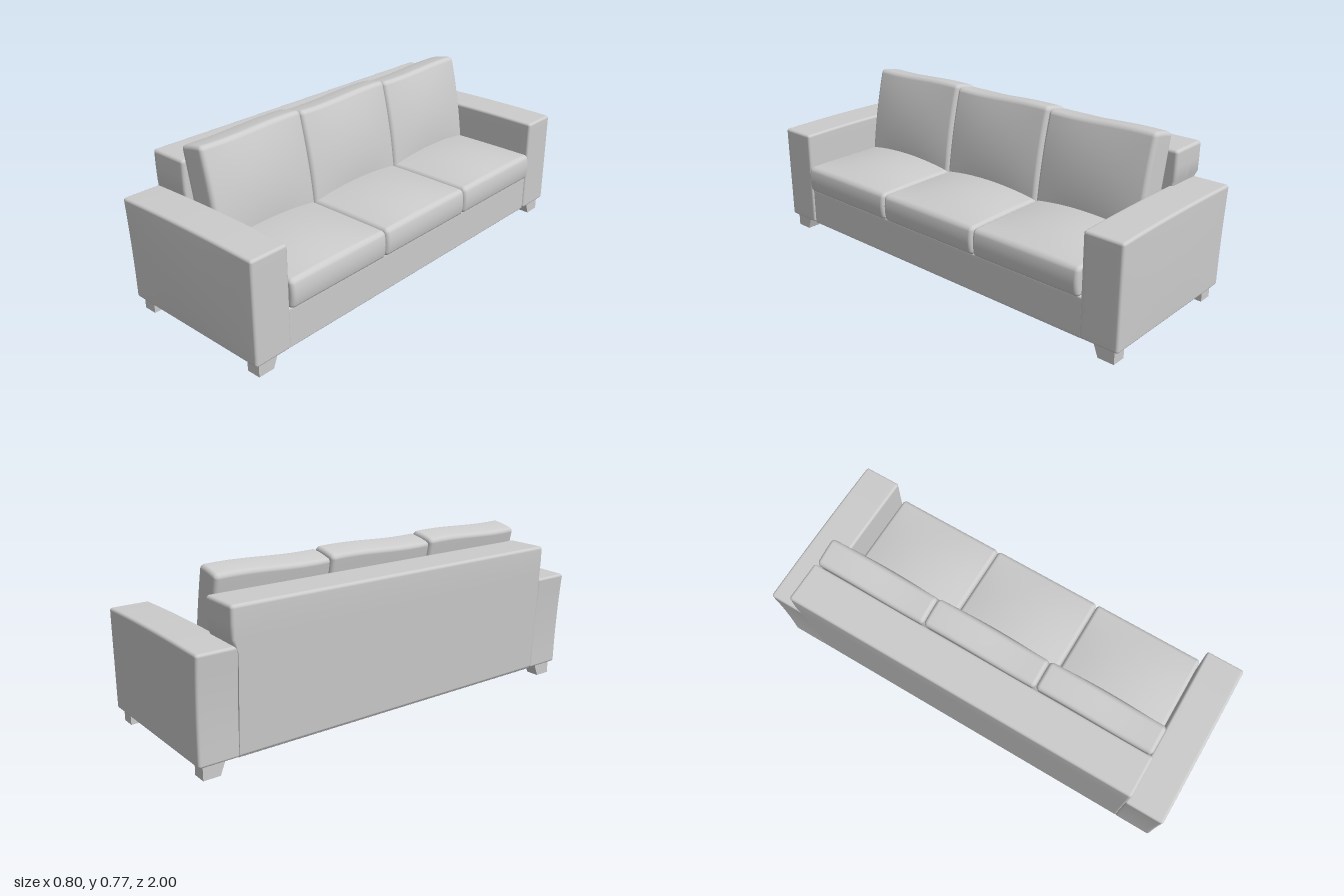
import * as THREE from 'three';
import { mergeVertices } from 'three/addons/utils/BufferGeometryUtils.js';

const material = new THREE.MeshStandardMaterial({ color: 0xcccccc });
const EDGE = 3; // segments across each rounded edge
const INNER = 10; // segments across each flat face

// Rounded, finely divided box between two corners.
// warp(p, u) moves each point p; u is its place in the box, -1 to 1 on each axis.
function softBox(name, min, max, r, warp) {
  const n = INNER + 2 * EDGE;
  const lo = new THREE.Vector3(...min), hi = new THREE.Vector3(...max);
  const half = hi.clone().sub(lo).multiplyScalar(0.5);
  const mid = hi.clone().add(lo).multiplyScalar(0.5);
  let geo = new THREE.BoxGeometry(2, 2, 2, n, n, n);
  geo.deleteAttribute('normal');
  geo.deleteAttribute('uv');
  geo = mergeVertices(geo);

  const place = (v, h) => {
    const i = Math.round((v + 1) / 2 * n);
    const k = Math.min(i, n - i);
    if (k >= EDGE) return (h - r) * ((i - EDGE) / INNER * 2 - 1);
    return Math.sign(v) * (h - r + r * Math.tan((EDGE - k) / EDGE * Math.PI / 4));
  };
  const pos = geo.attributes.position;
  const p = new THREE.Vector3(), core = new THREE.Vector3(), u = new THREE.Vector3();
  const inner = half.clone().subScalar(r);
  for (let i = 0; i < pos.count; i++) {
    p.fromBufferAttribute(pos, i);
    p.set(place(p.x, half.x), place(p.y, half.y), place(p.z, half.z));
    core.copy(p).clamp(inner.clone().negate(), inner);
    p.sub(core).setLength(r).add(core);
    u.copy(p).divide(half);
    p.add(mid);
    if (warp) warp(p, u);
    pos.setXYZ(i, p.x, p.y, p.z);
  }
  geo.computeVertexNormals();
  const mesh = new THREE.Mesh(geo, material);
  mesh.name = name;
  return mesh;
}

const dome = (a) => 1 - a * a;

// Block foot whose inner side slopes toward the floor
function foot(x, side) {
  const geo = new THREE.BoxGeometry(0.065, 0.065, 0.1);
  const pos = geo.attributes.position;
  for (let i = 0; i < pos.count; i++) {
    if (pos.getY(i) < 0 && pos.getZ(i) * side < 0) pos.setZ(i, -side * 0.025);
  }
  geo.computeVertexNormals();
  const mesh = new THREE.Mesh(geo, material);
  mesh.name = 'foot';
  mesh.position.set(x, 0.0325, side * 0.923);
  return mesh;
}

export function createModel() {
  const sofa = new THREE.Group();
  sofa.name = 'sofa';

  // Base below the cushions
  sofa.add(softBox('base', [-0.365, 0.055, -0.825], [0.375, 0.235, 0.825], 0.008));

  // Backrest, leaning outward toward the top
  sofa.add(softBox('backrest', [-0.372, 0.06, -0.85], [-0.205, 0.675, 0.828], 0.014, (p, u) => {
    if (u.x < 0) p.x -= 0.028 * Math.min(1, (p.y - 0.06) / 0.55);
    // Lower part stays between the arms
    if (p.y < 0.5) p.z = THREE.MathUtils.clamp(p.z, -0.822, 0.822);
  }));

  for (const side of [1, -1]) {
    // Arm with a gently crowned top and a flared rear edge
    const z = [side * 0.818, side * 0.997].sort((a, b) => a - b);
    sofa.add(softBox('arm', [-0.373, 0.06, z[0]], [0.383, 0.515, z[1]], 0.012, (p, u) => {
      const t = (p.y - 0.06) / 0.455;
      if (u.x < 0) p.x -= 0.022 * t * t * -u.x;
      if (u.y > 0) p.y += 0.007 * dome(u.x) * u.y;
      if (u.z * side > 0) p.z += side * 0.003 * dome(u.x) * dome(u.y);
    }));
    for (const x of [-0.323, 0.333]) sofa.add(foot(x, side));
  }

  for (const z of [-0.542, 0.002, 0.546]) {
    // Seat cushion with a crowned top and a slightly swollen front
    sofa.add(softBox('seatCushion', [-0.2, 0.232, z - 0.27], [0.39, 0.36, z + 0.27], 0.018, (p, u) => {
      if (u.y > 0) p.y += 0.03 * u.y * dome(u.x) * dome(u.z);
      if (u.x > 0) p.x += 0.01 * u.x * dome(u.y);
    }));

    // Leaning back cushion with a full front and a wavy top
    sofa.add(softBox('backCushion', [-0.145, 0.32, z - 0.27], [-0.018, 0.752, z + 0.27], 0.018, (p, u) => {
      const up = (u.y + 1) / 2;
      if (u.x > 0) p.x += 0.027 * u.x * dome(u.y) * (0.35 + 0.65 * dome(u.z));
      p.x -= 0.195 * (p.y - 0.35);
      p.y += up * (0.013 * u.x + 0.004 * dome(u.x) - 0.006 * Math.sin(2.4 * u.z));
    }));
  }
  return sofa;
}
